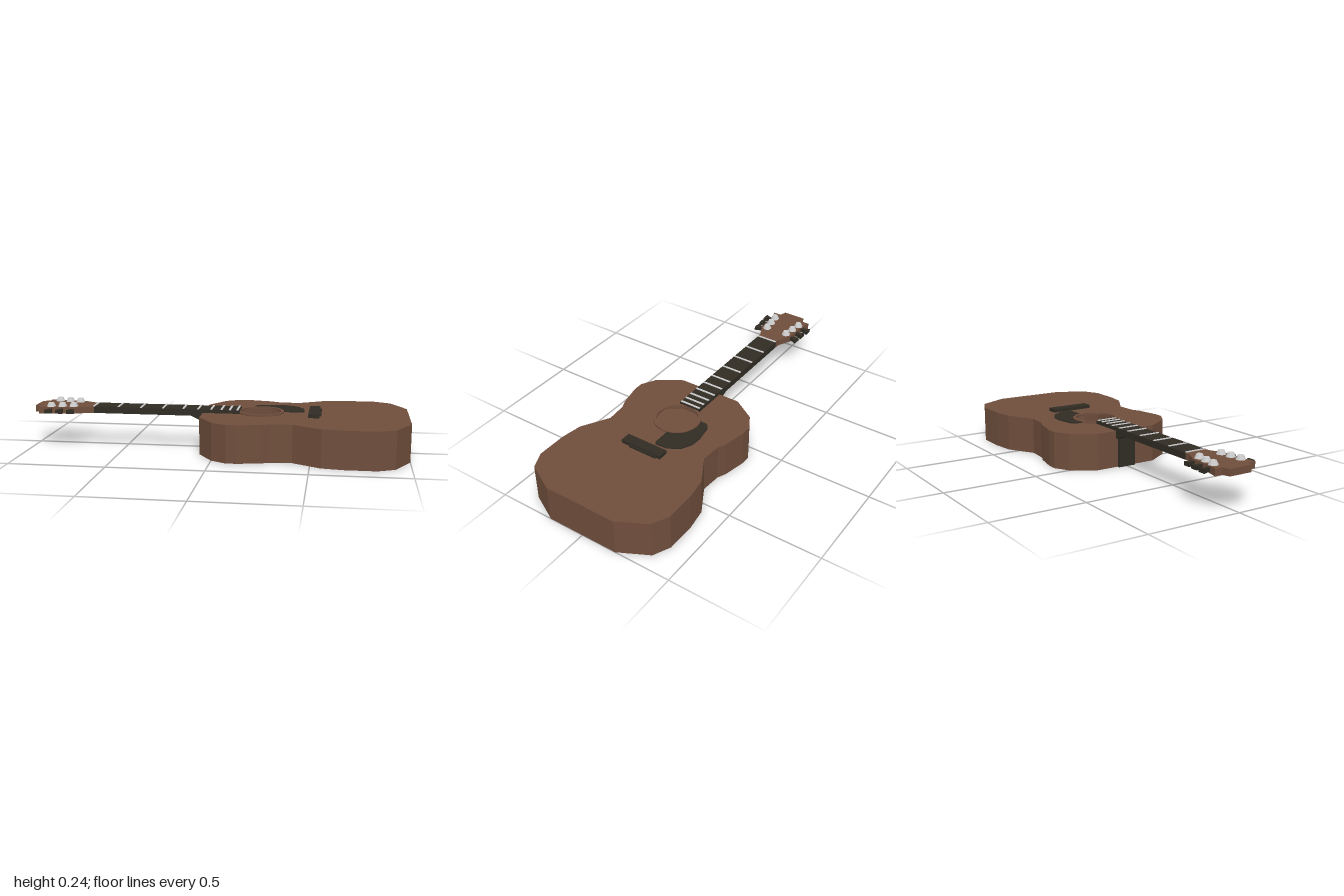
import * as THREE from 'three';

const mat = (color) => new THREE.MeshStandardMaterial({ color, flatShading: true, side: THREE.DoubleSide });
const wood = mat(0x6f4e3c), dark = mat(0x302c24), metal = mat(0xcccccc);

const shapeOf = (pts) => new THREE.Shape(pts.map(([a, b]) => new THREE.Vector2(a, b)));
// Closes a half outline by mirroring it across the long axis
const mirrored = (half) => [...half, ...half.map(([x, z]) => [x, -z]).reverse()];

// Horizontal slab from an (x, z) shape, between two heights
function slab(shape, y0, y1, curveSegments = 16) {
  const g = new THREE.ExtrudeGeometry(shape, { depth: y1 - y0, bevelEnabled: false, curveSegments });
  return g.rotateX(Math.PI / 2).translate(0, y1, 0);
}

function box(x0, x1, y0, y1, z0, z1) {
  return new THREE.BoxGeometry(x1 - x0, y1 - y0, z1 - z0)
    .translate((x0 + x1) / 2, (y0 + y1) / 2, (z0 + z1) / 2);
}

export function createModel() {
  const guitar = new THREE.Group();
  guitar.name = 'guitar';
  const add = (name, geometry, material, parent = guitar) => {
    const mesh = new THREE.Mesh(geometry, material);
    mesh.name = name;
    parent.add(mesh);
    return mesh;
  };

  // Hollow body: soundboard with a hole, back and faceted sides
  const top = 0.197, holeX = 0.225, holeR = 0.108;
  const outline = mirrored([
    [-0.08, -0.175], [0, -0.3], [0.08, -0.345], [0.135, -0.345], [0.255, -0.32], [0.3, -0.3],
    [0.41, -0.292], [0.555, -0.375], [0.67, -0.392], [0.83, -0.392], [0.92, -0.35], [1, -0.197],
  ]);
  const body = new THREE.Group();
  body.name = 'body';
  guitar.add(body);
  const face = shapeOf(outline);
  add('back', new THREE.ShapeGeometry(face).rotateX(Math.PI / 2), wood, body);
  const board = shapeOf(outline);
  board.holes.push(new THREE.Path().absarc(holeX, 0, holeR, 0, Math.PI * 2, true));
  add('soundboard', new THREE.ShapeGeometry(board, 12).rotateX(-Math.PI / 2).translate(0, top, 0), wood, body);
  const wall = [];
  outline.forEach(([ax, az], i) => {
    const [bx, bz] = outline[(i + 1) % outline.length];
    wall.push(ax, 0, az, ax, top, az, bx, 0, bz, bx, 0, bz, ax, top, az, bx, top, bz);
  });
  const sides = new THREE.BufferGeometry();
  sides.setAttribute('position', new THREE.Float32BufferAttribute(wall, 3));
  sides.computeVertexNormals();
  add('sides', sides, wood, body);

  // Raised ring around the sound hole
  const ring = new THREE.Shape().absarc(holeX, 0, 0.123, 0, Math.PI * 2, false);
  ring.holes.push(new THREE.Path().absarc(holeX, 0, holeR, 0, Math.PI * 2, true));
  add('soundHoleRing', slab(ring, top - 0.004, 0.206, 12), wood);

  // Pickguard wrapped around the ring
  const guard = shapeOf([
    [0.178, -0.125], [0.18, -0.155], [0.205, -0.175], [0.3, -0.19], [0.36, -0.185],
    [0.415, -0.155], [0.45, -0.095], [0.455, -0.03], [0.44, -0.022], [0.348, -0.022],
  ]);
  guard.absarc(holeX, 0, 0.124, -0.18, -1.95, true);
  add('pickguard', slab(guard, top, 0.203, 8), dark);

  // Bridge with a low lip behind it
  add('bridge', box(0.48, 0.537, top, 0.216, -0.117, 0.117), dark);
  add('bridgeLip', box(0.53, 0.545, top, 0.208, -0.095, 0.065), dark);

  // Neck and fingerboard from one side profile, plus the heel
  const profile = shapeOf([
    [-0.68, 0.18], [-0.145, 0.18], [-0.095, 0.157], [-0.08, 0.157], [-0.08, top], [0.115, top],
    [0.115, 0.215], [-0.68, 0.215],
  ]);
  add('neck', new THREE.ExtrudeGeometry(profile, { depth: 0.12, bevelEnabled: false }).translate(0, 0, -0.06), dark);
  add('heel', box(-0.096, -0.079, 0, 0.165, -0.05, 0.05), dark);

  // Nut and frets
  [-0.675, -0.54, -0.415, -0.295, -0.185, -0.105, -0.035, 0.02, 0.065, 0.105].forEach((x, i) => {
    add(i ? 'fret' : 'nut', box(x - 0.005, x + 0.005, 0.205, 0.219, -0.058, 0.058), metal);
  });

  // Headstock
  const head = mirrored([
    [-1, -0.062], [-0.963, -0.075], [-0.963, -0.117], [-0.9, -0.102], [-0.775, -0.097],
    [-0.705, -0.062], [-0.675, -0.06],
  ]);
  add('headstock', slab(shapeOf(head), 0.18, 0.215), wood);

  // Tuning posts and flared keys, three on each side
  for (const side of [-1, 1]) {
    [[-0.905, 0.08, 0.147], [-0.845, 0.072, 0.142], [-0.785, 0.064, 0.137]].forEach(([x, z, end]) => {
      const tuner = new THREE.Group();
      tuner.name = side > 0 ? 'leftTuner' : 'rightTuner';
      guitar.add(tuner);
      add('post', new THREE.CylinderGeometry(0.015, 0.025, 0.022, 10).translate(x, 0.225, side * z), metal, tuner);
      const key = shapeOf([
        [x - 0.008, side * 0.09], [x + 0.008, side * 0.09], [x + 0.011, side * (end - 0.022)],
        [x + 0.021, side * end], [x - 0.021, side * end], [x - 0.011, side * (end - 0.022)],
      ]);
      add('key', slab(key, 0.187, 0.207), dark, tuner);
    });
  }
  return guitar;
}
